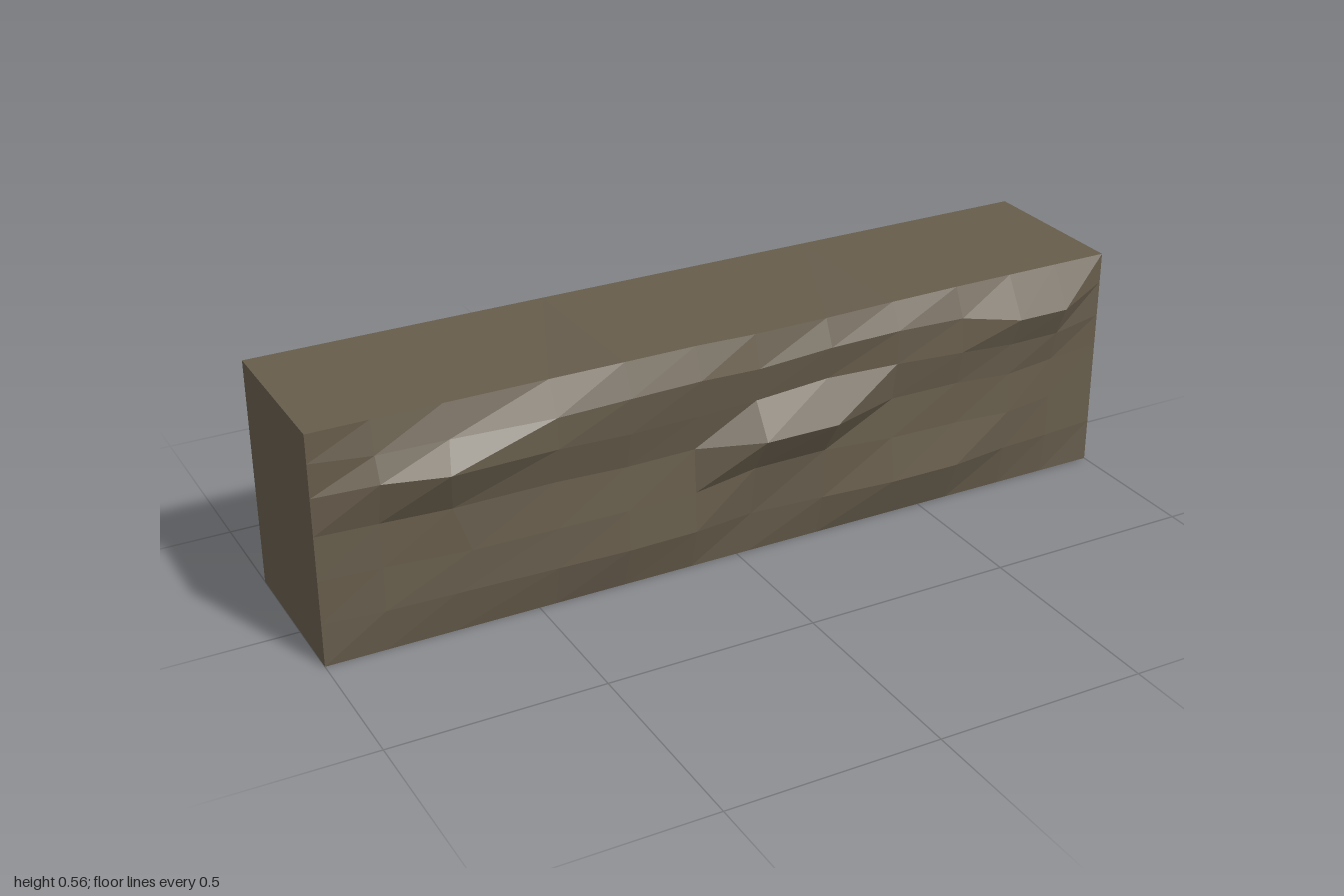
import * as THREE from 'three';

// Column positions and nominal row heights of the rough front face
const columns = [-1, -0.86, -0.7, -0.46, -0.29, -0.12, 0.03, 0.215, 0.4, 0.58, 0.73, 0.86, 1];
const rows = [0, 0.105, 0.21, 0.315, 0.405, 0.485, 0.553];
const FRONT = 0.157, BACK = -0.242;

// How far the rock bulges past the flat front, in thousandths, bottom row first
const bulge = [
  [0, 0, 0, 0, 0, 0, 0, 0, 0, 0, 0, 0, 0],
  [0, 15, 20, 28, 34, 30, 12, 25, 40, 40, 20, 12, 0],
  [0, 12, 24, 28, 30, 26, 30, 28, 25, 22, 26, 12, 0],
  [0, 10, 22, 20, 22, 20, 86, 86, 20, 22, 20, 10, 0],
  [0, 38, 78, 43, 44, 38, 32, 32, 36, 38, 28, 26, 0],
  [0, 15, 26, 43, 54, 54, 46, 48, 40, 32, 57, 57, 0],
  [0, 0, 0, 2, 22, 24, 24, 20, 5, 0, 0, 0, 0],
];

// Vertical shifts of the uneven ledges, in thousandths, by row
const lift = {
  2: [0, 0, -6, -6, -6, -6, 20, 20, 5, 0, -6, 0, 0],
  3: [0, 0, 0, 0, -5, -4, 5, 5, 0, 0, -12, -5, 0],
  4: [0, 15, 17, 0, -5, -5, -3, 10, 5, -5, -20, -20, -12],
  5: [0, -8, -5, -5, 5, 8, 0, 12, 10, 0, -27, -27, -5],
  6: [0, 0, 0, 1, 11, 12, 8, 6, 1, 0, 0, 0, 0],
};

// Closed cross-section at one column: front rows upward, then the back edge
function section(i) {
  const x = columns[i];
  const ring = rows.map((y, j) => {
    const lean = j === 2 && i === 2 ? 0.04 : j === 4 && i === 2 ? -0.02 : 0;
    return [x + lean, y + (lift[j] ? lift[j][i] / 1000 : 0), FRONT + bulge[j][i] / 1000];
  });
  ring.push([x, 0.553, BACK], [x, 0, BACK]);
  return ring;
}

export function createModel() {
  const group = new THREE.Group();
  group.name = 'rockWall';

  const stone = new THREE.MeshStandardMaterial({ color: 0x675d4c });
  stone.name = 'brown stone';
  stone.flatShading = true;

  const positions = [];
  const quad = (a, b, c, d) => positions.push(...a, ...b, ...c, ...a, ...c, ...d);
  const rings = columns.map((_, i) => section(i));
  const n = rings[0].length;

  // Skin between neighbouring cross-sections
  for (let i = 0; i < rings.length - 1; i++) {
    for (let j = 0; j < n; j++) {
      const k = (j + 1) % n;
      quad(rings[i][j], rings[i + 1][j], rings[i + 1][k], rings[i][k]);
    }
  }

  // Flat ends
  const left = rings[rings.length - 1], right = rings[0];
  quad(right[0], right[6], right[7], right[8]);
  quad(left[8], left[7], left[6], left[0]);

  const geometry = new THREE.BufferGeometry();
  geometry.setAttribute('position', new THREE.Float32BufferAttribute(positions, 3));
  geometry.computeVertexNormals();

  const wall = new THREE.Mesh(geometry, stone);
  wall.name = 'rockBlock';
  group.add(wall);
  return group;
}
